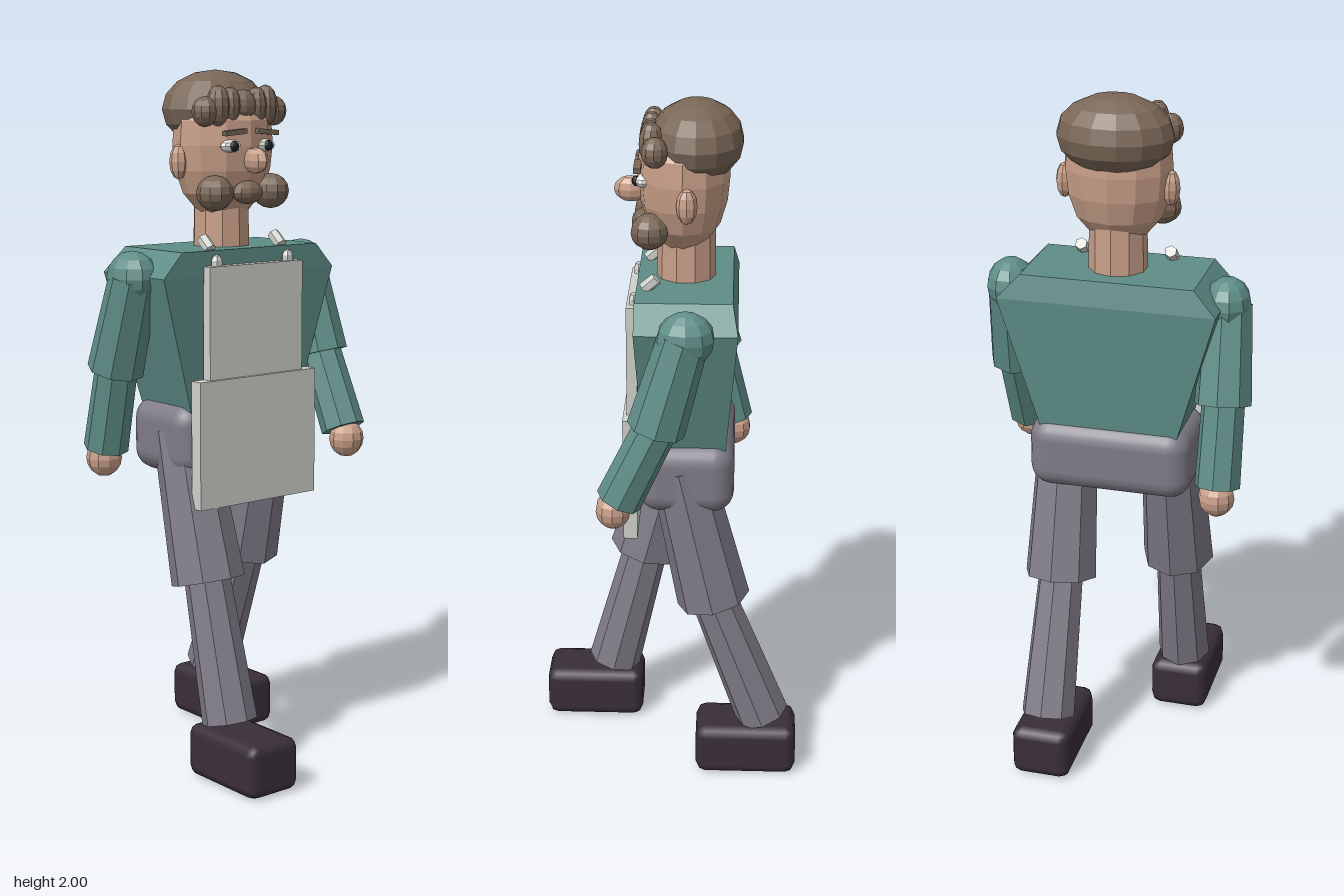
import * as THREE from 'three';
import { RoundedBoxGeometry } from 'three/addons/geometries/RoundedBoxGeometry.js';

const flat = (name, color) => {
  const m = new THREE.MeshStandardMaterial({ color, flatShading: true });
  m.name = name;
  return m;
};

export function createModel() {
  const root = new THREE.Group();
  root.name = 'walkingMan';

  const shirt = flat('shirtTeal', 0x5f8d87);
  const skin = flat('skin', 0xc89f88);
  const hair = flat('hairBrown', 0x7a6757);
  const apron = flat('apronGrey', 0xd0d0cc);
  const white = flat('eyeWhite', 0xe8e8e4);
  const dark = flat('pupilDark', 0x20222a);
  const trousers = flat('trouserGrey', 0x807c88);
  const shoes = flat('shoeDark', 0x392e39);
  trousers.flatShading = false;
  shoes.flatShading = false;

  const add = (name, geo, mat, x = 0, y = 0, z = 0, parent = root) => {
    const m = new THREE.Mesh(geo, mat);
    m.name = name;
    m.position.set(x, y, z);
    parent.add(m);
    return m;
  };
  const box = (name, mat, w, h, d, x, y, z) => add(name, new THREE.BoxGeometry(w, h, d), mat, x, y, z);
  const ball = (name, mat, rx, ry, rz, x, y, z, ws = 10, hs = 8) =>
    add(name, new THREE.SphereGeometry(1, ws, hs).scale(rx, ry, rz), mat, x, y, z);

  // Tapered faceted limb running from a down to b
  const limb = (name, mat, a, b, ra, rb, sides = 8) => {
    const top = new THREE.Vector3(...a), end = new THREE.Vector3(...b);
    const dir = top.clone().sub(end);
    const geo = new THREE.CylinderGeometry(ra, rb, dir.length(), sides).toNonIndexed();
    geo.computeVertexNormals();
    const m = add(name, geo, mat);
    m.position.copy(top).add(end).multiplyScalar(0.5);
    m.quaternion.setFromUnitVectors(new THREE.Vector3(0, 1, 0), dir.normalize());
    return m;
  };

  // Torso: a box with three levels, wide at the shoulders and narrow at the waist
  const levels = [
    { y: 1.05, w: 0.2, back: -0.165, front: 0.065 },
    { y: 1.435, w: 0.31, back: -0.195, front: 0.086 },
    { y: 1.505, w: 0.245, back: -0.18, front: 0.086 },
  ];
  const torso = new THREE.BoxGeometry(2, 2, 2, 1, 2, 1);
  const p = torso.attributes.position;
  for (let i = 0; i < p.count; i++) {
    const l = levels[Math.round(p.getY(i)) + 1];
    p.setXYZ(i, p.getX(i) * l.w, l.y, p.getZ(i) > 0 ? l.front : l.back);
  }
  add('torso', torso, shirt);
  add('pelvis', new RoundedBoxGeometry(0.47, 0.21, 0.27, 3, 0.06), trousers, 0, 0.965, -0.055);

  // Legs in mid stride: left one back, right one forward
  const strides = [
    { side: 'left', x: 0.153, knee: -0.135, ankle: -0.285, foot: -0.236 },
    { side: 'right', x: -0.153, knee: 0.08, ankle: 0.178, foot: 0.236 },
  ];
  for (const s of strides) {
    limb(s.side + 'Thigh', trousers, [s.x, 0.99, -0.035], [s.x, 0.56, s.knee], 0.088, 0.107);
    limb(s.side + 'Shin', trousers, [s.x, 0.59, s.knee + (s.knee > 0 ? -0.01 : 0.012)], [s.x, 0.165, s.ankle], 0.066, 0.08);
    add(s.side + 'Shoe', new RoundedBoxGeometry(0.176, 0.155, 0.298, 1, 0.03), shoes, s.x, 0.0775, s.foot);
  }

  // Arms swing opposite to the legs
  const swings = [
    { side: 'left', k: 1, elbow: [1.17, 0.025], wrist: [0.955, 0.128], hand: [0.927, 0.143] },
    { side: 'right', k: -1, elbow: [1.16, -0.128], wrist: [0.93, -0.178], hand: [0.9, -0.188] },
  ];
  for (const s of swings) {
    const x = 0.322 * s.k;
    ball(s.side + 'Shoulder', shirt, 0.068, 0.075, 0.08, 0.312 * s.k, 1.43, -0.055);
    limb(s.side + 'UpperArm', shirt, [0.312 * s.k, 1.43, -0.05], [x, ...s.elbow], 0.07, 0.081);
    limb(s.side + 'Forearm', shirt, [x, s.elbow[0] + 0.02, s.elbow[1] - 0.008 * s.k], [x, ...s.wrist], 0.061, 0.065);
    ball(s.side + 'Hand', skin, 0.052, 0.055, 0.05, x, ...s.hand);
  }

  // Apron with two straps over the chest edge
  box('apronBib', apron, 0.34, 0.325, 0.03, 0, 1.3, 0.098);
  box('apronSkirt', apron, 0.426, 0.365, 0.04, 0, 0.9625, 0.103);
  for (const x of [-0.13, 0.13]) {
    limb('strapUpper', apron, [x, 1.535, 0.03], [x, 1.505, 0.065], 0.018, 0.018, 6);
    ball('strapLower', apron, 0.02, 0.025, 0.015, x, 1.47, 0.093, 6, 5);
  }

  // Neck and head
  limb('neck', skin, [0, 1.66, -0.048], [0, 1.49, -0.048], 0.08, 0.083, 10);
  const profile = [[0, 1.59], [0.075, 1.6], [0.122, 1.655], [0.145, 1.72], [0.153, 1.79], [0.148, 1.86], [0.1, 1.93], [0, 1.95]];
  const skull = new THREE.LatheGeometry(profile.map(q => new THREE.Vector2(...q)), 12).scale(1, 1, 0.83);
  add('head', skull, skin, 0, 0, -0.04);
  ball('nose', skin, 0.026, 0.037, 0.048, 0, 1.75, 0.105, 8, 6);
  ball('hairCap', hair, 0.164, 0.11, 0.13, 0, 1.89, -0.075, 14, 8);
  ball('moustacheMiddle', hair, 0.05, 0.033, 0.035, 0, 1.66, 0.07);

  // Mirrored face parts
  for (const k of [-1, 1]) {
    ball('ear', skin, 0.025, 0.05, 0.029, 0.15 * k, 1.745, -0.052, 8, 6);
    ball('eye', white, 0.035, 0.018, 0.02, 0.062 * k, 1.79, 0.07, 10, 6);
    ball('pupil', dark, 0.014, 0.015, 0.013, 0.062 * k, 1.79, 0.087, 8, 6);
    box('eyebrow', hair, 0.075, 0.014, 0.02, 0.058 * k, 1.828, 0.084).rotation.z = -0.08 * k;
    ball('moustacheEnd', hair, 0.053, 0.05, 0.053, 0.102 * k, 1.66, 0.05);
  }

  // Row of curls along the forehead
  for (const [x, y, z, r, h] of [[0.125, 1.885, 0.035, 0.037, 0.042], [0.086, 1.9, 0.045, 0.035, 0.058], [0.048, 1.9, 0.05, 0.031, 0.053]]) {
    for (const k of [-1, 1]) ball('curl', hair, r, h, r, x * k, y, z);
  }
  ball('curlMiddle', hair, 0.042, 0.045, 0.032, 0, 1.9, 0.05);

  return root;
}
